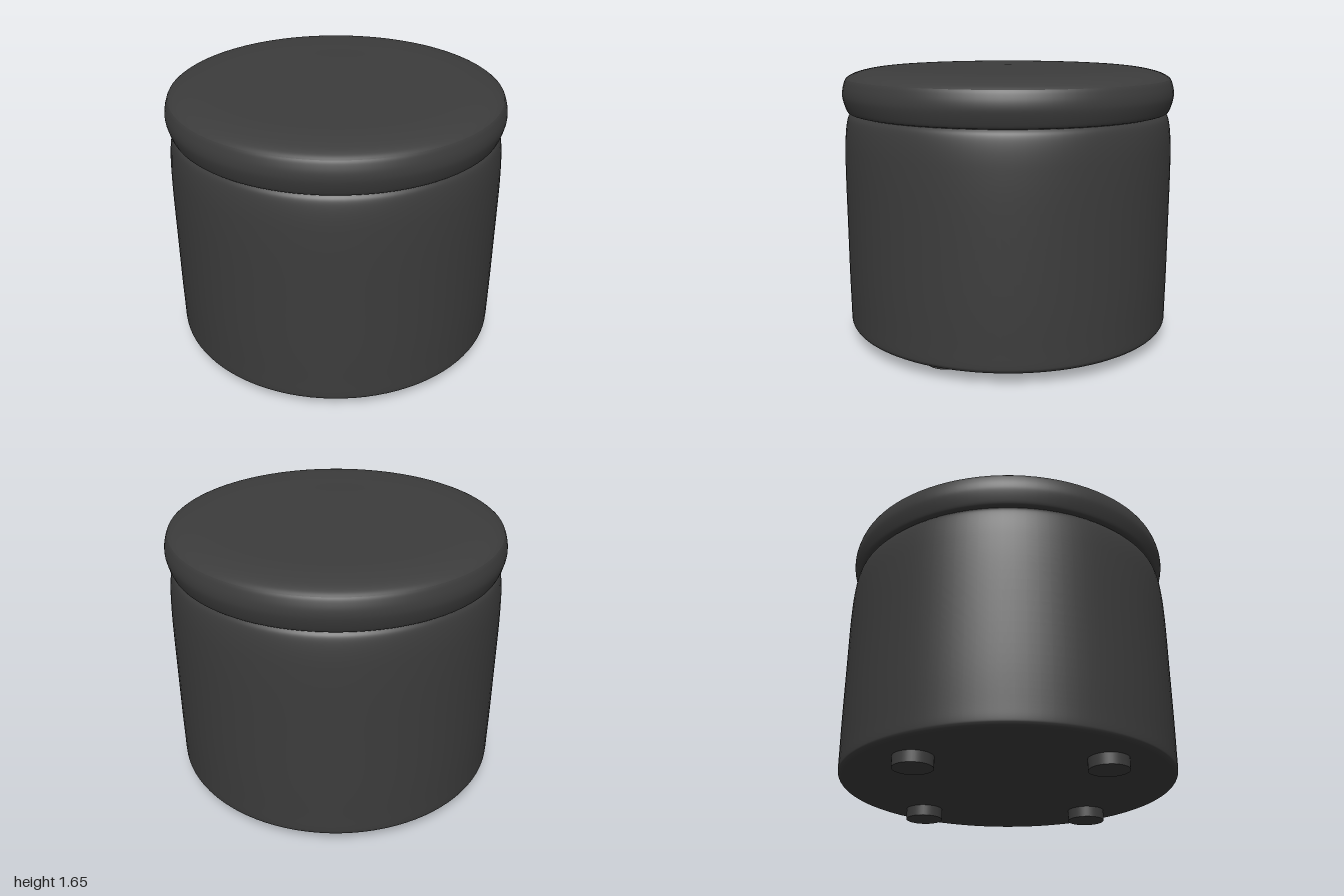
import * as THREE from 'three';

const upholstery = new THREE.MeshStandardMaterial({ color: 0x3c3c3c });
upholstery.name = 'charcoal upholstery';

// Surface of revolution from [radius, height] points, listed bottom to top
function turned(name, points, divisions = 0) {
  let profile = points.map(([r, y]) => new THREE.Vector2(r, y));
  if (divisions) profile = new THREE.SplineCurve(profile).getPoints(divisions);
  profile.forEach((p) => { p.x = Math.max(p.x, 0); });
  const mesh = new THREE.Mesh(new THREE.LatheGeometry(profile, 96), upholstery);
  mesh.name = name;
  return mesh;
}

export function createModel() {
  const stool = new THREE.Group();
  stool.name = 'roundStorageStool';

  // Drum body: flat base, rounded bottom edge, softly drawn-in top
  stool.add(turned('bodyBase', [[0, 0.065], [0.95, 0.065]]));
  stool.add(turned('bodySide', [
    [0.95, 0.065], [0.974, 0.071], [0.989, 0.086], [0.994, 0.11], [0.995, 0.2], [0.997, 0.4],
    [0.997, 0.7], [0.997, 1.0], [0.994, 1.15], [0.989, 1.24], [0.98, 1.31], [0.968, 1.355], [0.95, 1.378],
  ], 60));
  stool.add(turned('bodyTop', [[0.95, 1.378], [0, 1.378]]));

  // Padded lid: flat underside, bulging rim, and a shallow domed top meeting at a seam
  stool.add(turned('lidUnderside', [[0, 1.38], [0.955, 1.38]]));
  stool.add(turned('lidRim', [
    [0.955, 1.38], [0.972, 1.387], [0.986, 1.42], [0.997, 1.46], [1, 1.49], [0.996, 1.525], [0.985, 1.562], [0.976, 1.58],
  ], 28));
  stool.add(turned('lidTop', [
    [0.976, 1.58], [0.95, 1.598], [0.9, 1.617], [0.82, 1.633], [0.72, 1.641], [0.5, 1.646], [0.25, 1.651], [0, 1.654],
  ], 32));

  // Four short feet, one on each axis
  const footGeometry = new THREE.CylinderGeometry(0.114, 0.114, 0.07, 40);
  ['left', 'back', 'right', 'front'].forEach((side, i) => {
    const angle = (i * Math.PI) / 2;
    const foot = new THREE.Mesh(footGeometry, upholstery);
    foot.name = `${side}Foot`;
    foot.position.set(0.74 * Math.cos(angle), 0.035, -0.74 * Math.sin(angle));
    stool.add(foot);
  });

  return stool;
}
